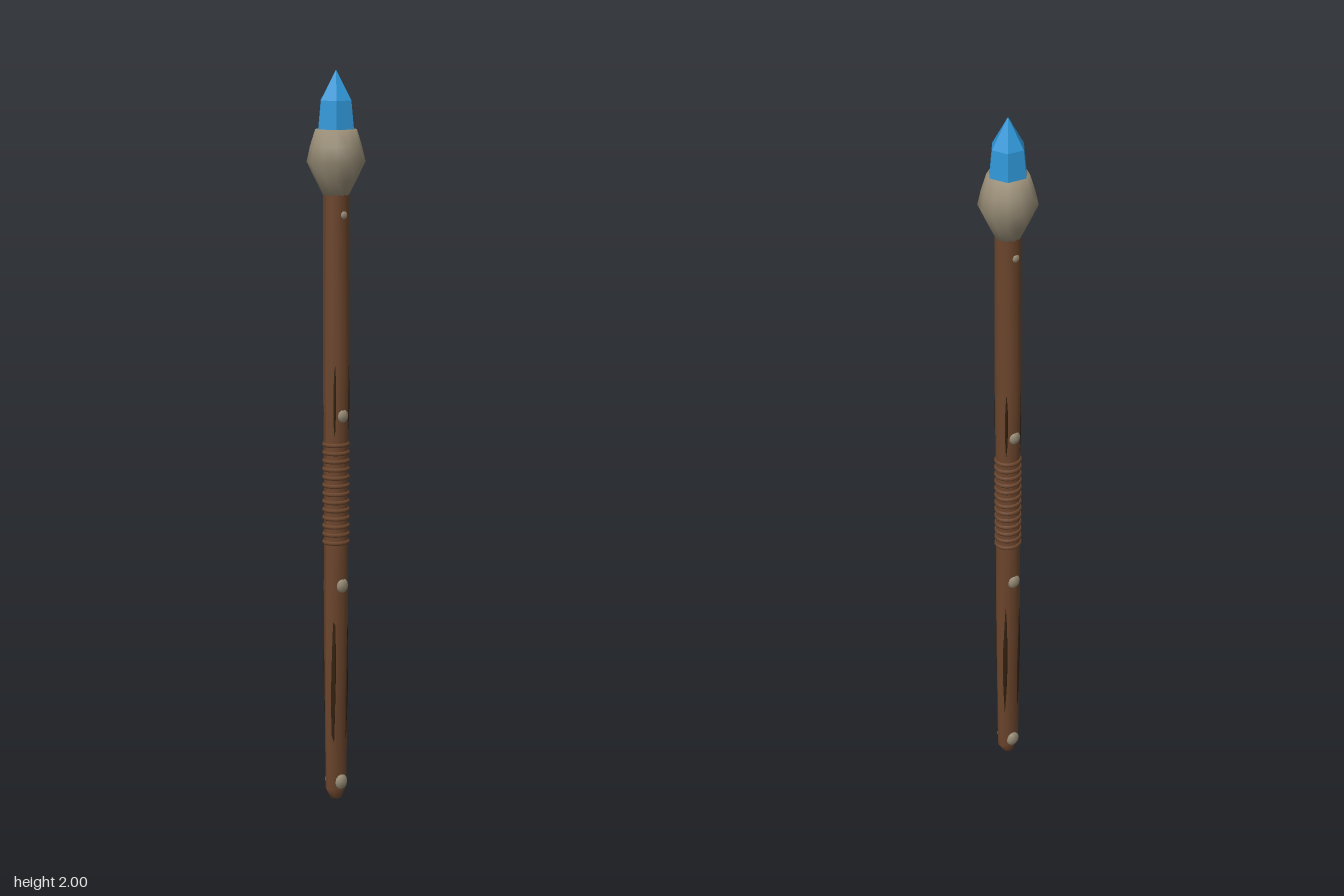
import * as THREE from 'three';

const WOOD = 0x6b452c, DARK = 0x33200f, BONE = 0x968b75, BLUE = 0x2f95d6;
const TWIST = -0.38; // turn of the flattened shaft around y

function mat(color, flatShading = false) {
  return new THREE.MeshStandardMaterial({ color, flatShading });
}

function add(parent, name, geometry, material) {
  const mesh = new THREE.Mesh(geometry, material);
  mesh.name = name;
  parent.add(mesh);
  return mesh;
}

// half widths of the shaft: [height, across, along]
const PROFILE = [
  [0, 0.014, 0.016], [0.03, 0.02, 0.034], [0.25, 0.021, 0.036], [0.42, 0.027, 0.036],
  [0.6, 0.03, 0.036], [0.72, 0.031, 0.035], [1.02, 0.031, 0.035], [1.12, 0.033, 0.036],
  [1.25, 0.035, 0.036], [1.69, 0.035, 0.035],
];

function widthsAt(y) {
  let i = 1;
  while (i < PROFILE.length - 1 && PROFILE[i][0] < y) i++;
  const [a, b] = [PROFILE[i - 1], PROFILE[i]];
  const t = (y - a[0]) / (b[0] - a[0]);
  return [1, 2].map((k) => THREE.MathUtils.lerp(a[k], b[k], t));
}

// unit lathe stretched to the oval cross-sections
function shaftGeometry() {
  const points = [new THREE.Vector2(0, 0), ...PROFILE.map(([y]) => new THREE.Vector2(1, y))];
  const geo = new THREE.LatheGeometry(points, 12);
  const p = geo.attributes.position;
  for (let i = 0; i < p.count; i++) {
    const [w, d] = widthsAt(p.getY(i));
    p.setX(i, p.getX(i) * w);
    p.setZ(i, p.getZ(i) * d);
  }
  geo.computeVertexNormals();
  return geo;
}

// thin tapered strip following the shaft surface at one angle
function stripGeometry(y0, y1, angle, radius) {
  const points = [];
  for (let i = 0; i <= 8; i++) {
    const y = THREE.MathUtils.lerp(y0, y1, i / 8);
    const [w, d] = widthsAt(y);
    points.push(new THREE.Vector3(Math.cos(angle) * (w - radius * 0.6), y, Math.sin(angle) * (d - radius * 0.6)));
  }
  const curve = new THREE.CatmullRomCurve3(points);
  const geo = new THREE.TubeGeometry(curve, 16, radius, 5);
  const p = geo.attributes.position;
  for (let i = 0; i < p.count; i++) {
    const t = Math.floor(i / 6) / 16;
    const s = 0.15 + 0.85 * Math.sin(Math.PI * t);
    const c = curve.getPointAt(t);
    p.setXYZ(i, c.x + (p.getX(i) - c.x) * s, p.getY(i), c.z + (p.getZ(i) - c.z) * s);
  }
  geo.computeVertexNormals();
  return geo;
}

export function createModel() {
  const staff = new THREE.Group();
  staff.name = 'staff';
  const body = new THREE.Group();
  body.name = 'body';
  body.rotation.y = TWIST;
  staff.add(body);

  add(body, 'shaft', shaftGeometry(), mat(WOOD));

  // dark grooves in the wood, mirrored on both sides
  for (const turn of [0, Math.PI]) {
    for (const offset of [-0.75, 0.75]) {
      add(body, 'lowerGroove', stripGeometry(0.08, 0.59, turn + offset, 0.009), mat(DARK));
      add(body, 'upperGroove', stripGeometry(1.0, 1.24, turn + offset, 0.005), mat(DARK));
    }
  }

  // wrapped grip
  const rings = 13;
  for (let i = 0; i < rings; i++) {
    const ring = add(body, 'gripRing', new THREE.TorusGeometry(0.031, 0.006, 6, 16), mat(WOOD));
    ring.rotation.x = Math.PI / 2;
    ring.scale.y = 1.06;
    ring.position.y = 0.73 + (0.27 * i) / (rings - 1);
  }

  // paired studs on the flat sides: [height, radius]
  for (const [y, r] of [[0.05, 0.021], [0.61, 0.02], [1.08, 0.018], [1.62, 0.011]]) {
    const reach = Math.max(widthsAt(y)[0], 0.026);
    for (const side of [-1, 1]) {
      const stud = add(body, 'stud', new THREE.SphereGeometry(r, 8, 6), mat(BONE));
      stud.scale.x = 0.5;
      stud.position.set(side * (reach - r * 0.15), y, 0);
    }
  }

  // head that holds the crystal
  const bulb = [[0, 1.665], [0.034, 1.67], [0.054, 1.71], [0.078, 1.76], [0.069, 1.8], [0.055, 1.845], [0, 1.845]];
  add(staff, 'head', new THREE.LatheGeometry(bulb.map(([r, y]) => new THREE.Vector2(r, y)), 12), mat(BONE));

  // six-sided crystal
  const gem = [[0, 1.84], [0.054, 1.842], [0.046, 1.92], [0, 2]];
  const crystal = new THREE.LatheGeometry(gem.map(([r, y]) => new THREE.Vector2(r, y)), 6);
  crystal.rotateY(Math.PI / 2);
  add(staff, 'crystal', crystal, mat(BLUE, true));

  return staff;
}
